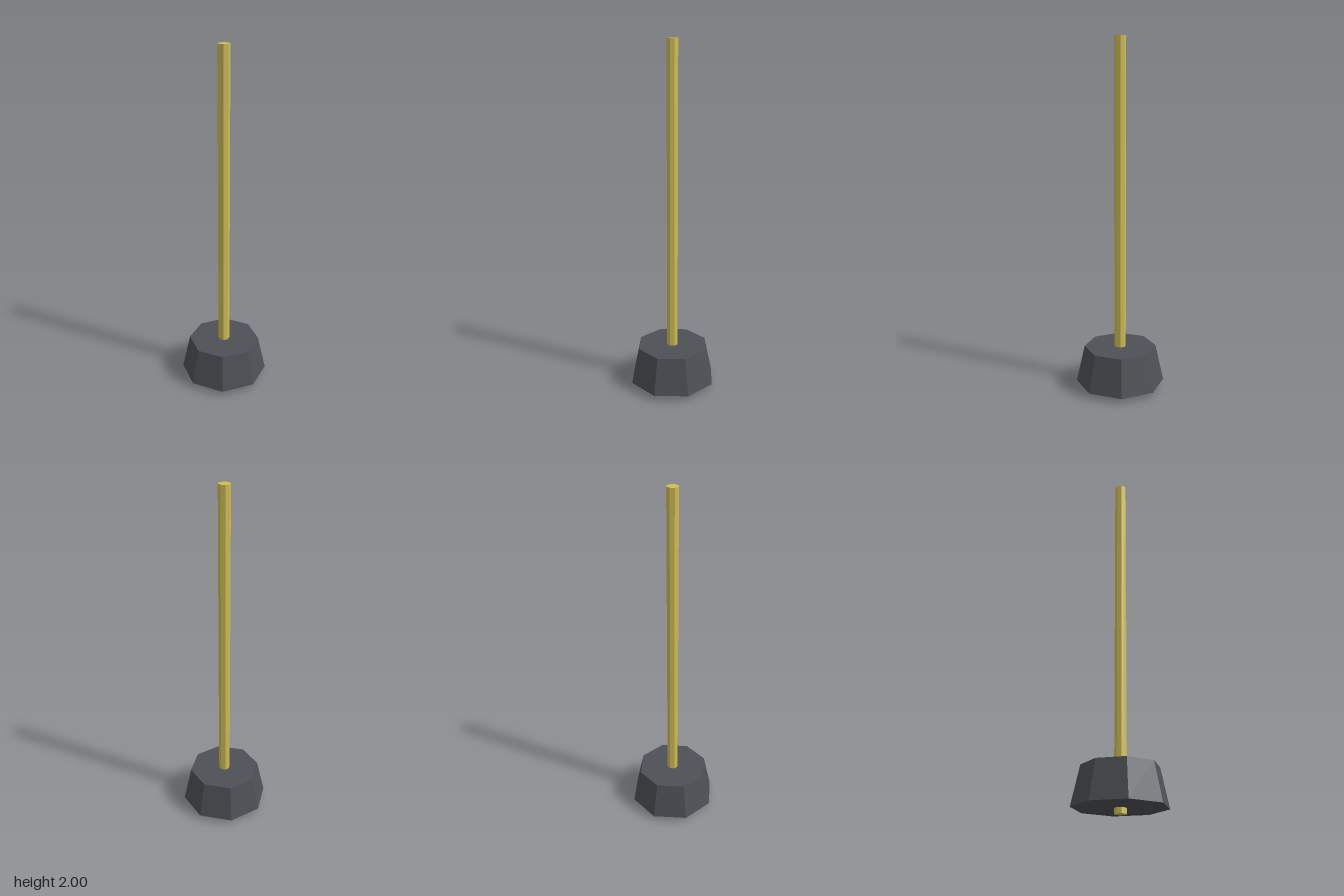
import * as THREE from 'three';

const brass = new THREE.MeshStandardMaterial({ name: 'mustard yellow', color: 0xd0be54, flatShading: true });
const slate = new THREE.MeshStandardMaterial({ name: 'dark slate', color: 0x4d5055, flatShading: true });

// Eight-sided upright part between two heights
function octagon(name, topRadius, bottomRadius, y0, y1, material) {
  const mesh = new THREE.Mesh(new THREE.CylinderGeometry(topRadius, bottomRadius, y1 - y0, 8), material);
  mesh.name = name;
  mesh.position.y = (y0 + y1) / 2;
  return mesh;
}

export function createModel() {
  const group = new THREE.Group();
  group.name = 'weightedPost';
  // Tall pole, poking slightly out below the base
  group.add(octagon('pole', 0.033, 0.033, 0, 2, brass));
  // Tapered heavy base
  group.add(octagon('base', 0.208, 0.255, 0.03, 0.243, slate));
  return group;
}
